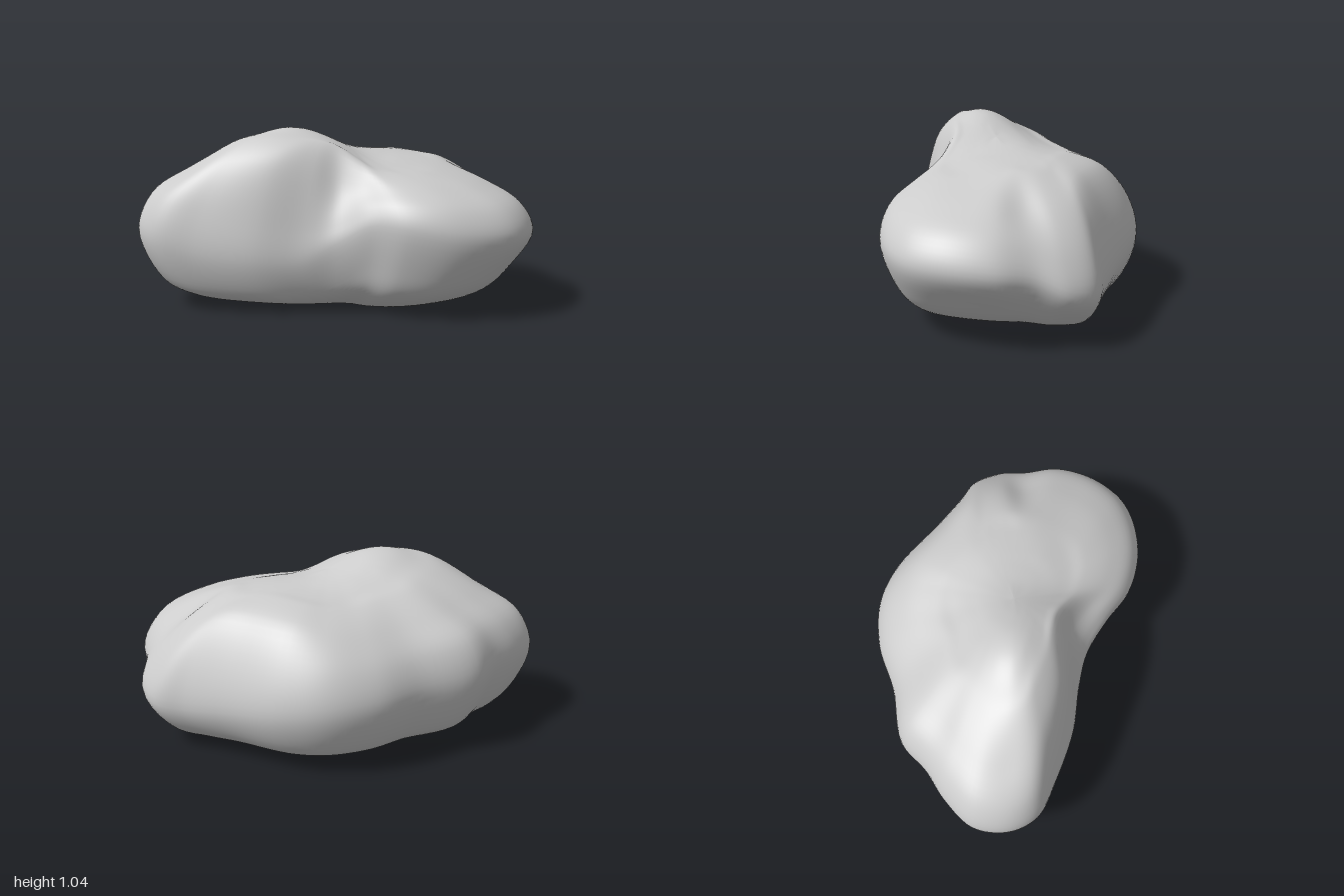
import * as THREE from 'three';

// Widest contour of the boulder seen from above: x, z, height of the widest point
const outline = [
  [1.0, 0.36, 0.28], [0.95, 0.53, 0.32], [0.82, 0.65, 0.4], [0.7, 0.82, 0.44],
  [0.5, 0.95, 0.46], [0.28, 1.0, 0.47], [0.1, 0.96, 0.48], [-0.1, 0.83, 0.5],
  [-0.25, 0.63, 0.54], [-0.31, 0.42, 0.54], [-0.38, 0.22, 0.42], [-0.5, 0.07, 0.32],
  [-0.7, -0.13, 0.32], [-0.88, -0.4, 0.36], [-0.99, -0.62, 0.43], [-0.96, -0.8, 0.45],
  [-0.82, -0.95, 0.45], [-0.6, -0.99, 0.47], [-0.4, -0.98, 0.47], [-0.18, -1.0, 0.45],
  [0.12, -0.86, 0.42], [0.4, -0.775, 0.4], [0.63, -0.62, 0.38], [0.765, -0.41, 0.35],
  [0.86, -0.05, 0.3], [0.93, 0.18, 0.27],
];

// Heights inside each outline point: lower edge, shoulder, upper slope
const heights = [
  [0.12, 0.5, 0.73], [0.16, 0.5, 0.71], [0.2, 0.56, 0.7], [0.25, 0.6, 0.73],
  [0.27, 0.62, 0.73], [0.26, 0.62, 0.73], [0.25, 0.62, 0.73], [0.25, 0.64, 0.74],
  [0.29, 0.65, 0.74], [0.29, 0.63, 0.72], [0.18, 0.54, 0.72], [0.14, 0.52, 0.82],
  [0.13, 0.56, 0.87], [0.14, 0.61, 0.87], [0.16, 0.65, 0.84], [0.17, 0.66, 0.81],
  [0.18, 0.67, 0.81], [0.18, 0.67, 0.81], [0.18, 0.67, 0.8], [0.17, 0.66, 0.78],
  [0.16, 0.61, 0.75], [0.15, 0.59, 0.74], [0.14, 0.59, 0.76], [0.13, 0.58, 0.79],
  [0.12, 0.56, 0.8], [0.11, 0.54, 0.79],
];

// Heights over the crown: x, z, y
const crownSpots = [
  [-0.28, -0.2, 1.12], [-0.25, 0, 1.03], [-0.19, 0.1, 0.91], [-0.12, -0.2, 1.02],
  [-0.43, -0.32, 1.05], [-0.25, -0.42, 1.0], [-0.56, -0.43, 0.97], [-0.5, -0.58, 0.91],
  [-0.3, -0.6, 0.89], [-0.1, -0.6, 0.85], [0, -0.4, 0.89], [0.04, -0.12, 0.92],
  [0.2, -0.5, 0.81], [0.25, -0.28, 0.87], [0.42, -0.4, 0.81], [0.45, -0.18, 0.88],
  [0.6, -0.05, 0.85], [0.4, 0.05, 0.89], [0.18, 0.05, 0.9], [0.6, 0.2, 0.82],
  [0.42, 0.27, 0.87], [0.2, 0.27, 0.87], [0, 0.2, 0.87], [0.42, 0.5, 0.8],
  [0.2, 0.55, 0.79], [0, 0.45, 0.8], [-0.15, 0.32, 0.79], [-0.4, -0.03, 0.9],
  [-0.54, -0.2, 0.94],
];

const CENTRE_Z = -0.05;
const AROUND = 156;
const UP = 72;

// Rounded crown: blend of the nearby spot heights
function crown(x, z) {
  let sum = 0;
  let total = 0;
  for (const [sx, sz, sy] of crownSpots) {
    const weight = Math.exp(-((x - sx) ** 2 + (z - sz) ** 2) / 0.03);
    sum += weight * sy;
    total += weight;
  }
  return sum / total;
}

// Closed smooth ring: the outline shrunk toward the centre, at a height per point
function ring(scale, heightAt) {
  const points = outline.map(([ox, oz], i) => {
    const x = ox * scale;
    const z = CENTRE_Z + (oz - CENTRE_Z) * scale;
    return new THREE.Vector3(x, heightAt(i, x, z), z);
  });
  return new THREE.CatmullRomCurve3(points, true);
}

function boulderGeometry() {
  // Rings from the flat underside, over the widest contour, to the crown
  const crownHeight = (i, x, z) => crown(x, z);
  const rings = [
    ring(0.35, () => 0),
    ring(0.62, (i) => heights[i][0] * 0.24),
    ring(0.8, (i) => heights[i][0] * 0.56),
    ring(0.9, (i) => heights[i][0]),
    ring(1.0, (i) => outline[i][2]),
    ring(0.93, (i) => heights[i][1]),
    ring(0.75, (i) => heights[i][2]),
    ...[0.54, 0.42, 0.3, 0.2, 0.1].map((scale) => ring(scale, crownHeight)),
  ];
  const bottom = new THREE.Vector3(0, 0, CENTRE_Z);
  const top = new THREE.Vector3(0, crown(0, CENTRE_Z), CENTRE_Z);

  // Smooth profiles through the rings, joined around the boulder
  const positions = [];
  const indices = [];
  for (let j = 0; j < AROUND; j++) {
    const profile = new THREE.CatmullRomCurve3(
      [bottom, ...rings.map((r) => r.getPoint(j / AROUND)), top]);
    for (let k = 1; k < UP; k++) {
      const p = profile.getPoint(k / UP);
      positions.push(p.x, Math.max(0, p.y), p.z);
    }
  }
  const rows = UP - 1;
  const bottomIndex = AROUND * rows;
  positions.push(...bottom.toArray(), ...top.toArray());
  for (let j = 0; j < AROUND; j++) {
    const a = j * rows;
    const b = ((j + 1) % AROUND) * rows;
    indices.push(bottomIndex, a, b);
    for (let k = 0; k < rows - 1; k++) {
      indices.push(a + k, a + k + 1, b + k, a + k + 1, b + k + 1, b + k);
    }
    indices.push(a + rows - 1, bottomIndex + 1, b + rows - 1);
  }

  const geometry = new THREE.BufferGeometry();
  geometry.setAttribute('position', new THREE.Float32BufferAttribute(positions, 3));
  geometry.setIndex(indices);
  geometry.computeVertexNormals();
  return geometry;
}

export function createModel() {
  const model = new THREE.Group();
  model.name = 'rock';
  const boulder = new THREE.Mesh(boulderGeometry(), new THREE.MeshStandardMaterial({ color: 0xcccccc }));
  boulder.name = 'boulder';
  model.add(boulder);
  return model;
}
